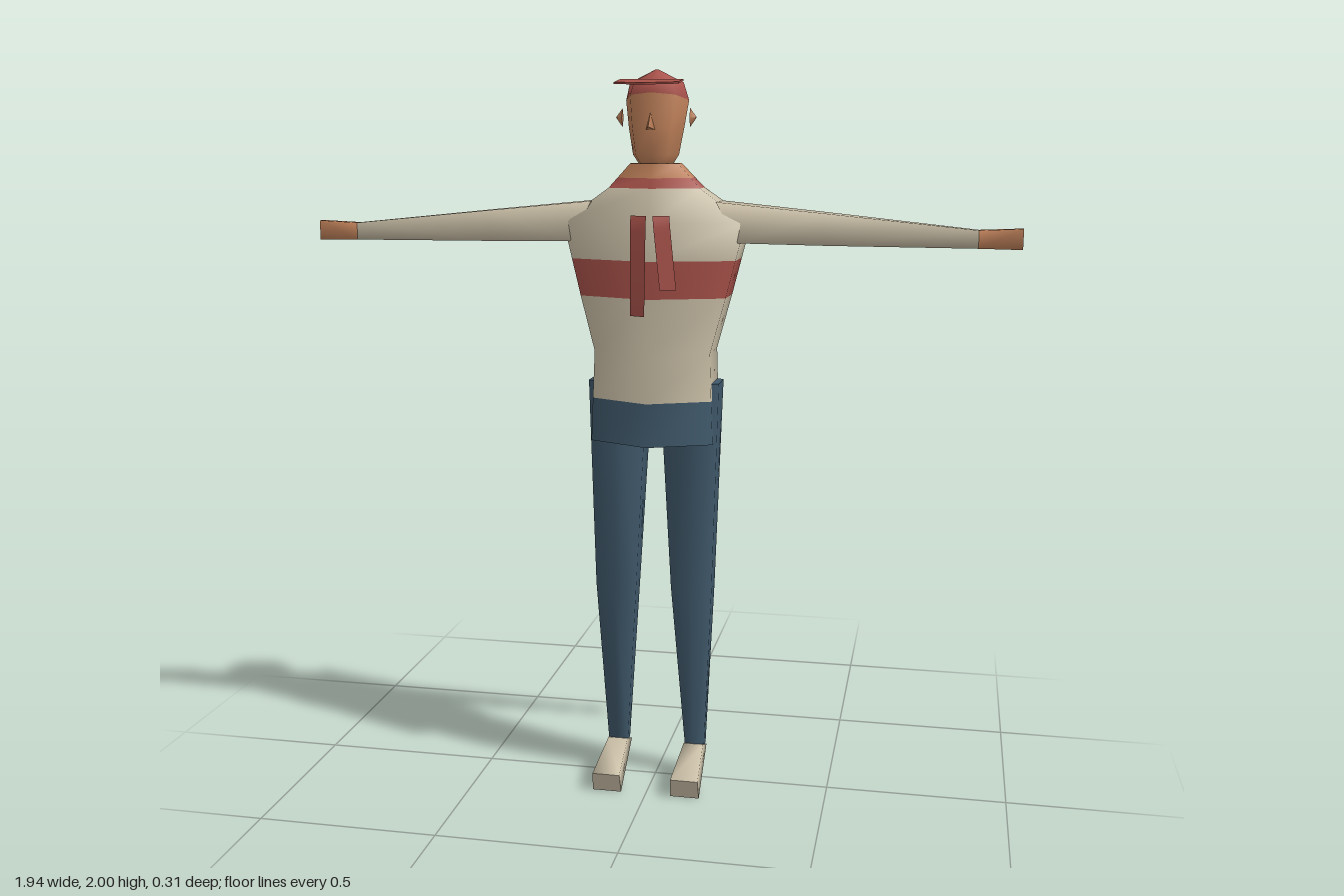
import * as THREE from 'three';

const mat = (name, color) => Object.assign(new THREE.MeshStandardMaterial({ color }), { name });

// Skin a list of equal-length point rings; each segment takes a material index.
function loft(rings, segs = [], side = 1) {
  const n = rings[0].length, last = rings.length - 1;
  const pos = [], idx = [], groups = [];
  const add = p => pos.push(p[0] * side, p[1], p[2]);
  rings.forEach(r => r.forEach(add));
  for (let i = 0; i < last; i++) {
    const start = idx.length;
    for (let j = 0; j < n; j++) {
      const a = i * n + j, b = i * n + (j + 1) % n;
      idx.push(a, b, b + n, a, b + n, a + n);
    }
    groups.push([start, idx.length - start, segs[i] ?? 0]);
  }
  // End caps with their own vertices, so their edges stay sharp
  for (const [k, first] of [[0, true], [last, false]]) {
    const base = pos.length / 3, start = idx.length;
    rings[k].forEach(add);
    for (let j = 1; j < n - 1; j++) {
      idx.push(...(first ? [base, base + j + 1, base + j] : [base, base + j, base + j + 1]));
    }
    groups.push([start, idx.length - start, segs[first ? 0 : last - 1] ?? 0]);
  }
  // Turn the faces outwards if the solid is inside out
  let volume = 0;
  const v = i => new THREE.Vector3().fromArray(pos, i * 3);
  for (let i = 0; i < idx.length; i += 3) volume += v(idx[i]).dot(v(idx[i + 1]).cross(v(idx[i + 2])));
  if (volume < 0) for (let i = 0; i < idx.length; i += 3) [idx[i + 1], idx[i + 2]] = [idx[i + 2], idx[i + 1]];
  const g = new THREE.BufferGeometry();
  g.setAttribute('position', new THREE.Float32BufferAttribute(pos, 3));
  g.setIndex(idx);
  groups.forEach(q => g.addGroup(...q));
  g.computeVertexNormals();
  return g;
}

// Six-sided level ring: centre cx, half width w, front ridge to back ridge
const hex = (y, cx, w, zf, zfs, zbs, zb) => [
  [cx, y, zf], [cx + w, y, zfs], [cx + w, y, zbs], [cx, y, zb], [cx - w, y, zbs], [cx - w, y, zfs]];

// Eight-sided ring for the head, tilted towards the back
const oct = (y, tilt, w, zf, zb) => Array.from({ length: 8 }, (_, i) => {
  const a = i * Math.PI / 4, z = (zf + zb) / 2 + Math.cos(a) * (zf - zb) / 2;
  return [Math.sin(a) * w, y + tilt * z, z];
});

// Torso sections: y, half width, front, side front, side back, back
const TORSO = [
  [1.0, 0.17, 0.13, 0.055, -0.07, -0.14],
  [1.12, 0.165, 0.13, 0.055, -0.07, -0.143],
  [1.25, 0.16, 0.125, 0.05, -0.075, -0.148],
  [1.4, 0.2, 0.117, 0.042, -0.082, -0.152],
  [1.5, 0.225, 0.11, 0.036, -0.086, -0.154],
  [1.6, 0.25, 0.103, 0.03, -0.092, -0.157],
  [1.69, 0.125, 0.075, 0.02, -0.06, -0.11],
  [1.717, 0.1, 0.066, 0.02, -0.05, -0.097],
  [1.755, 0.065, 0.055, 0.02, -0.04, -0.078],
];

// Depth of the chest surface at a point
function chestZ(x, y) {
  const i = Math.max(0, TORSO.findIndex(r => r[0] >= y) - 1), a = TORSO[i], b = TORSO[i + 1];
  const t = (y - a[0]) / (b[0] - a[0]);
  const [, w, zf, zs] = a.map((q, k) => q + (b[k] - q) * t);
  return zf + (zs - zf) * Math.abs(x) / w;
}

export function createModel() {
  const group = new THREE.Group();
  group.name = 'figure';
  const cream = mat('cream', 0xcbc0a8), red = mat('red', 0xa9524a);
  const denim = mat('denim', 0x40596b), skin = mat('skin', 0xbe8059);
  const put = (name, geo, material) => {
    const m = new THREE.Mesh(geo, material);
    m.name = name;
    group.add(m);
    return m;
  };

  // Sweater with waistband, chest band, collar and neck
  put('torso', loft(TORSO.map(([y, ...r]) => hex(y, 0, ...r)), [0, 1, 1, 2, 1, 1, 2, 3]),
    [denim, cream, red, skin]);

  // Two upright bars lying on the chest: top edge, then bottom edge
  const bars = [[-0.05, -0.005, 1.62, -0.048, -0.006, 1.355], [0.012, 0.055, 1.62, 0.033, 0.075, 1.425]];
  for (const [tl, tr, ty, bl, br, by] of bars) {
    const g = new THREE.PlaneGeometry(1, 1, 1, 12), p = g.attributes.position;
    for (let i = 0; i < p.count; i++) {
      const u = p.getX(i) + 0.5, v = p.getY(i) + 0.5;
      const x = THREE.MathUtils.lerp(bl + (br - bl) * u, tl + (tr - tl) * u, v);
      const y = by + (ty - by) * v;
      p.setXYZ(i, x, y, chestZ(x, y) + 0.007);
    }
    g.computeVertexNormals();
    put('chestBar', g, red);
  }

  // Head with cap crown
  put('head', loft([
    oct(1.75, 0, 0.045, 0.045, -0.06),
    oct(1.778, 0, 0.063, 0.068, -0.08),
    oct(1.85, 0, 0.076, 0.072, -0.1),
    oct(1.926, 0.2, 0.086, 0.064, -0.12),
    oct(1.966, 0, 0.073, 0.055, -0.09),
    oct(2.0, 0, 0.004, -0.016, -0.024),
  ], [0, 0, 0, 1, 1]), [skin, red]);

  // Nose
  const tip = [0, 1.85, 0.1];
  put('nose', loft([[[-0.013, 1.843, 0.064], [0.013, 1.843, 0.064], [0, 1.89, 0.066]], [tip, tip, tip]]), skin);

  // Cap bill
  const bill = new THREE.Shape([[-0.085, 0], [-0.085, 0.075], [0, 0.093], [0.085, 0.075], [0.085, 0], [0, 0.006]]
    .map(q => new THREE.Vector2(...q)));
  const billGeo = new THREE.ExtrudeGeometry(bill, { depth: 0.005, bevelEnabled: false }).rotateX(Math.PI / 2);
  const billMesh = put('capBill', billGeo, red);
  billMesh.position.set(0, 1.973, 0.052);
  billMesh.rotation.x = 0.13;

  for (const s of [1, -1]) {
    const side = s > 0 ? 'left' : 'right';

    // Ear
    const lobe = [0.11, 1.875, -0.01];
    put(side + 'Ear', loft([
      [[0.092, 1.9, -0.01], [0.092, 1.875, 0.002], [0.092, 1.85, -0.01], [0.092, 1.875, -0.022]],
      [lobe, lobe, lobe, lobe]], [], s), skin);

    // Arm and hand: x top, x bottom, y top, y bottom, z front, z back
    const box = (xt, xb, yt, yb, zf, zb) => [[xt, yt, zf], [xt, yt, zb], [xb, yb, zb], [xb, yb, zf]];
    const wrist = box(0.857, 0.857, 1.587, 1.54, 0.005, -0.025);
    put(side + 'Arm', loft([
      box(0.17, 0.23, 1.655, 1.547, 0.036, -0.073),
      box(0.46, 0.46, 1.627, 1.543, 0.022, -0.055),
      wrist], [], s), cream);
    put(side + 'Hand', loft([wrist, box(0.97, 0.97, 1.592, 1.538, 0.002, -0.022)], [], s), skin);

    // Trouser leg
    put(side + 'Leg', loft([
      hex(0.09, 0.113, 0.028, 0.0, -0.012, -0.042, -0.055),
      hex(0.58, 0.108, 0.058, 0.056, 0.028, -0.026, -0.052),
      hex(1.165, 0.1, 0.082, 0.064, 0.03, -0.055, -0.09)], [], s), denim);

    // Shoe sloping down to the toe
    const sole = (w, yt, zt, yb, zb) => [
      [0.112 - w, yb, zb], [0.112 + w, yb, zb], [0.112 + w * 0.95, yt, zt], [0.112 - w * 0.95, yt, zt]];
    put(side + 'Shoe', loft([
      sole(0.03, 0.1, 0.0, 0.08, -0.053),
      sole(0.041, 0.055, 0.158, 0.0, 0.144)], [], s), cream);
  }
  return group;
}
